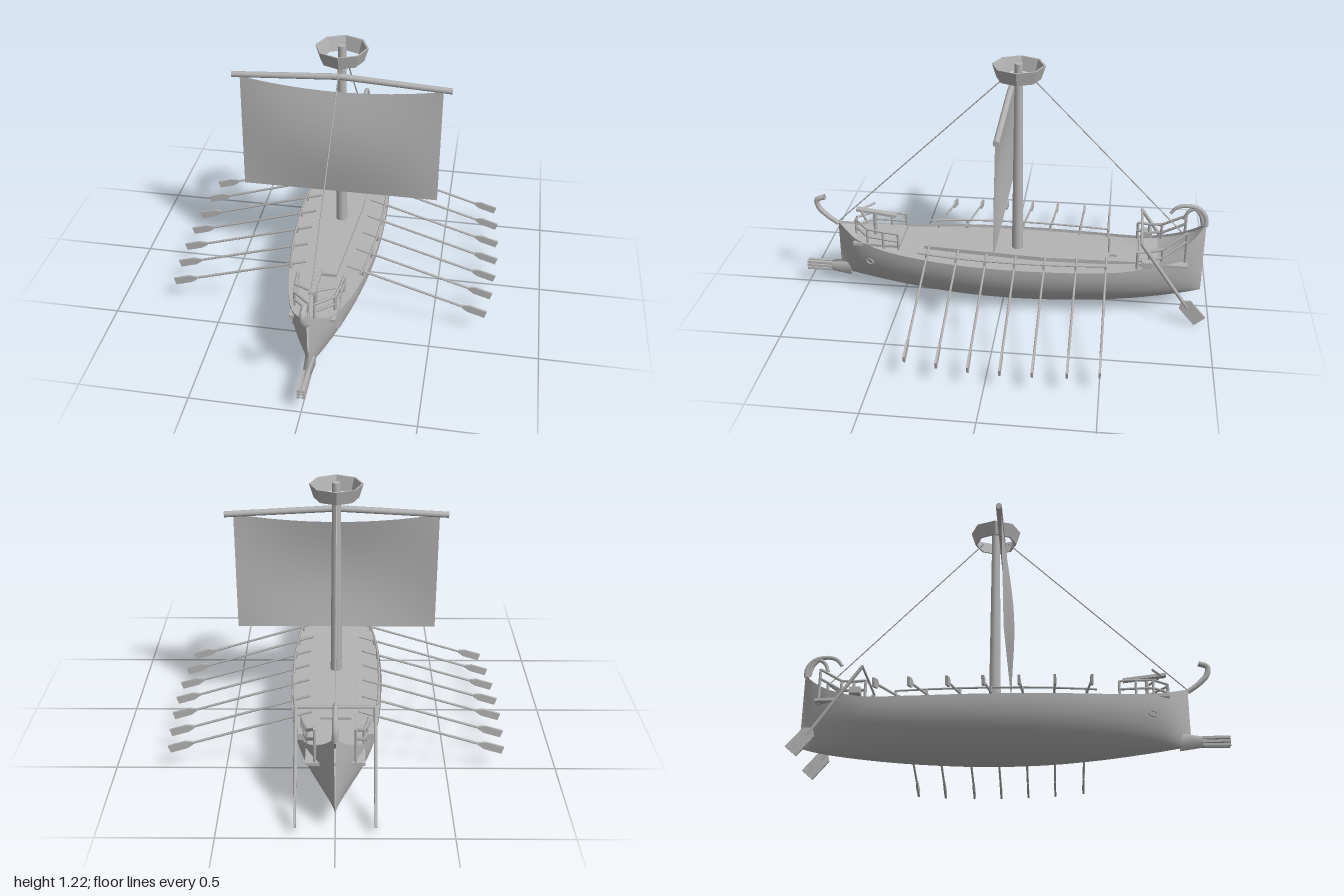
import * as THREE from 'three';

const wood = new THREE.MeshStandardMaterial({ color: 0xb4b4b4, side: THREE.DoubleSide });
wood.name = 'plain grey';
const V = (x, y, z) => new THREE.Vector3(x, y, z);

// Hull stations: z, half width, gunwale height, keel height
const stations = [
  [-0.96, 0.004, 0.465, 0.1], [-0.9, 0.055, 0.4, 0.082], [-0.8, 0.112, 0.335, 0.062], [-0.65, 0.165, 0.285, 0.042],
  [-0.45, 0.197, 0.272, 0.022], [-0.2, 0.213, 0.27, 0.007], [0, 0.214, 0.27, 0.004], [0.2, 0.203, 0.272, 0.01],
  [0.4, 0.175, 0.277, 0.026], [0.58, 0.135, 0.288, 0.047], [0.72, 0.085, 0.315, 0.067], [0.825, 0.004, 0.36, 0.085],
];
const gunwale = new THREE.CatmullRomCurve3(stations.map(([z, w, g]) => V(w, g, z)), false, 'catmullrom', 0.5);
const keel = new THREE.CatmullRomCurve3(stations.map(([z, , , k]) => V(0, k, z)), false, 'catmullrom', 0.5);

// Gunwale point at a given z
function edgeAt(z) {
  let lo = 0, hi = 1;
  for (let i = 0; i < 24; i++) {
    const mid = (lo + hi) / 2;
    if (gunwale.getPoint(mid).z < z) lo = mid; else hi = mid;
  }
  return gunwale.getPoint(lo);
}

function part(parent, name, geometry, x = 0, y = 0, z = 0) {
  const mesh = new THREE.Mesh(geometry, wood);
  mesh.name = name;
  mesh.position.set(x, y, z);
  parent.add(mesh);
  return mesh;
}

// Round bar between two points
function bar(parent, name, a, b, r0, r1 = r0, sides = 6) {
  const dir = b.clone().sub(a);
  const mesh = part(parent, name, new THREE.CylinderGeometry(r1, r0, dir.length(), sides));
  mesh.position.copy(a).add(b).multiplyScalar(0.5);
  mesh.quaternion.setFromUnitVectors(V(0, 1, 0), dir.normalize());
  return mesh;
}

function chain(parent, name, points, r) {
  for (let i = 1; i < points.length; i++) bar(parent, name, points[i - 1], points[i], r);
}

// Curved surface from a rule over u, v in 0..1
function surface(nu, nv, rule) {
  const g = new THREE.PlaneGeometry(1, 1, nu, nv);
  const p = g.attributes.position, uv = g.attributes.uv;
  for (let i = 0; i < p.count; i++) {
    const q = rule(uv.getX(i), uv.getY(i));
    p.setXYZ(i, q.x, q.y, q.z);
  }
  g.computeVertexNormals();
  return g;
}

// Curl whose radius tapers to the tip
function curl(parent, name, points, r0, r1) {
  const path = new THREE.CatmullRomCurve3(points.map(([z, y]) => V(0, y, z)));
  const g = new THREE.TubeGeometry(path, 20, 1, 8);
  const p = g.attributes.position;
  for (let i = 0; i < p.count; i++) {
    const t = Math.floor(i / 9) / 20, c = path.getPointAt(t);
    const v = V(p.getX(i), p.getY(i), p.getZ(i)).sub(c).multiplyScalar(r0 + (r1 - r0) * t).add(c);
    p.setXYZ(i, v.x, v.y, v.z);
  }
  part(parent, name, g);
}

// Flat blade along +x, thin in z
function bladeGeometry(length, half, neck) {
  const s = new THREE.Shape([[0, -0.007], [neck, -half], [length, -half], [length, half], [neck, half], [0, 0.007]]
    .map(([x, y]) => new THREE.Vector2(x, y)));
  return new THREE.ExtrudeGeometry(s, { depth: 0.01, bevelEnabled: false }).translate(0, 0, -0.005);
}

export function createModel() {
  const ship = new THREE.Group();
  ship.name = 'galley';

  // Hull and deck
  part(ship, 'hull', surface(32, 60, (u, v) => {
    const g = gunwale.getPoint(v), k = keel.getPoint(v), a = (u * 2 - 1) * Math.PI / 2;
    const x = Math.sign(a) * Math.abs(Math.sin(a)) ** 1.2 * g.x;
    return V(x, k.y + (g.y - k.y) * (1 - Math.cos(a)), g.z);
  }));
  part(ship, 'deck', surface(2, 50, (u, v) => {
    const g = gunwale.getPoint(1 - v);
    return V((u * 2 - 1) * g.x * 0.985, g.y - 0.014, g.z);
  }));
  const plank = new THREE.Shape([[-0.08, 0.64], [-0.092, 0.2], [-0.05, -0.39], [0.05, -0.39], [0.092, 0.2], [0.08, 0.64]]
    .map(([x, y]) => new THREE.Vector2(x, y)));
  part(ship, 'gangway', new THREE.ExtrudeGeometry(plank, { depth: 0.02, bevelEnabled: false }).rotateX(-Math.PI / 2), 0, 0.258, 0);
  part(ship, 'bench', new THREE.BoxGeometry(0.14, 0.012, 0.035), 0, 0.3, -0.53);
  bar(ship, 'benchPost', V(0, 0.26, -0.51), V(0, 0.355, -0.51), 0.005);
  part(ship, 'foreDeck', new THREE.BoxGeometry(0.206, 0.014, 0.23), 0, 0.295, 0.615);
  part(ship, 'aftDeck', new THREE.BoxGeometry(0.25, 0.014, 0.23), 0, 0.29, -0.765);

  // Ram with six prongs
  const neck = part(ship, 'ramBase', new THREE.CylinderGeometry(0.028, 0.05, 0.12, 4).rotateY(Math.PI / 4).rotateX(Math.PI / 2), 0, 0.105, 0.835);
  neck.scale.x = 0.6;
  for (const x of [-0.011, 0.011]) for (const y of [0.088, 0.105, 0.122])
    part(ship, 'ramProng', new THREE.BoxGeometry(0.014, 0.012, 0.125), x, y, 0.937);

  // Bow and stern curls
  curl(ship, 'bowCurl', [[0.825, 0.35], [0.88, 0.39], [0.92, 0.435], [0.925, 0.475], [0.885, 0.492]], 0.012, 0.014);
  curl(ship, 'sternCurl', [[-0.955, 0.45], [-0.952, 0.5], [-0.92, 0.54], [-0.86, 0.553], [-0.815, 0.54], [-0.79, 0.508]], 0.014, 0.008);
  curl(ship, 'sternInnerCurl', [[-0.945, 0.46], [-0.93, 0.51], [-0.9, 0.54], [-0.87, 0.52], [-0.855, 0.48]], 0.012, 0.008);

  // Mast, crow's nest, yard
  const mz = -0.065;
  bar(ship, 'mast', V(0, 0.25, mz), V(0, 1.225, mz), 0.028, 0.019, 12);
  const nest = [[0.102, 1.155], [0.122, 1.22], [0.113, 1.22], [0.094, 1.155], [0.102, 1.155]].map(([x, y]) => new THREE.Vector2(x, y));
  part(ship, 'crowsNest', new THREE.LatheGeometry(nest, 8).toNonIndexed(), 0, 0, mz).geometry.computeVertexNormals();
  for (const s of [-1, 1]) bar(ship, 'yard', V(0, 1.087, -0.025), V(0.51 * s, 1.057, -0.025), 0.015, 0.014, 10);

  // Billowed square sail
  part(ship, 'sail', surface(20, 16, (u, v) => {
    const x = u * 2 - 1, top = 1.015 + 0.04 * x * x;
    const belly = Math.sin(Math.PI * Math.min(1, v * 0.95)) * (1 - x * x);
    return V(0.47 * x, 0.475 + (top - 0.475) * v, -0.004 - 0.012 * v + 0.034 * belly);
  }));

  // Stays
  bar(ship, 'foreStay', V(0, 1.16, -0.005), V(0, 0.36, 0.825), 0.003);
  bar(ship, 'backStay', V(0, 1.16, -0.125), V(0, 0.41, -0.85), 0.003);

  // Bolt thrower on the fore deck
  bar(ship, 'throwerStand', V(0, 0.3, 0.64), V(0, 0.42, 0.64), 0.009);
  const stock = part(ship, 'throwerStock', new THREE.BoxGeometry(0.03, 0.014, 0.2), 0, 0.423, 0.63);
  stock.rotation.x = -0.12;
  for (const s of [-1, 1]) bar(ship, 'throwerArm', V(0, 0.432, 0.71), V(0.09 * s, 0.425, 0.66), 0.006);

  // Rowing stations, rails and steering gear on both sides
  const oarZ = [0.355, 0.21, 0.07, -0.07, -0.21, -0.36, -0.5];
  for (const s of [1, -1]) {
    const side = new THREE.Group();
    side.name = s > 0 ? 'leftSide' : 'rightSide';
    ship.add(side);

    const lineY = x => 0.34 - 0.312 * x;
    for (const z of oarZ) {
      const w = edgeAt(z).x, tip = w + 0.565, root = tip - 0.11;
      bar(side, 'oarShaft', V(s * (w - 0.085), lineY(w - 0.085), z), V(s * (root + 0.02), lineY(root + 0.02), z), 0.0055);
      const blade = part(side, 'oarBlade', bladeGeometry(0.113, 0.018, 0.03), s * root, lineY(root), z);
      blade.rotation.set(0, s > 0 ? 0 : Math.PI, -0.302);
      bar(side, 'railPost', V(s * (w - 0.012), 0.255, z), V(s * (w - 0.012), 0.305, z), 0.006);
    }
    const railZ = [0.4, ...oarZ];
    chain(side, 'sideRail', railZ.map(z => V(s * (edgeAt(z).x - 0.012), 0.303, z)), 0.005);

    // Fore rail
    const fore = [[0.105, 0.365, 0.505], [0.1, 0.37, 0.58], [0.09, 0.375, 0.66], [0.012, 0.383, 0.735]];
    for (const drop of [0, 0.04]) chain(side, 'foreRail', fore.map(([x, y, z]) => V(s * x, y - drop, z)), 0.006);
    for (const [x, y, z] of fore) bar(side, 'foreRailPost', V(s * x, 0.28, z), V(s * x, y, z), 0.006);

    // Aft rail rising to the stern
    const aft = [[0.145, 0.37, -0.645], [0.135, 0.37, -0.7], [0.12, 0.38, -0.76], [0.085, 0.455, -0.87]];
    for (const drop of [0, 0.045]) chain(side, 'aftRail', aft.map(([x, y, z]) => V(s * x, y - drop, z)), 0.007);
    for (const [x, y, z] of aft) bar(side, 'aftRailPost', V(s * x, 0.28, z), V(s * x, y, z), 0.007);

    // Steering oar and its bracket
    bar(side, 'steeringShaft', V(s * 0.17, 0.43, -0.66), V(s * 0.17, 0.1, -0.89), 0.009);
    const rudder = part(side, 'steeringBlade', bladeGeometry(0.135, 0.034, 0.02), s * 0.17, 0.13, -0.868);
    rudder.rotation.set(0, Math.PI / 2, -0.87);
    part(side, 'steeringBracket', new THREE.BoxGeometry(0.05, 0.03, 0.05), s * 0.148, 0.315, -0.69);

    // Eye ring on the bow
    const e = edgeAt(0.65);
    const eye = part(side, 'eye', new THREE.TorusGeometry(0.02, 0.004, 6, 16), s * e.x * 0.93, 0.205, 0.65);
    eye.rotation.y = s * 1.15;
    eye.scale.y = 0.65;
  }
  bar(ship, 'steeringCrossbar', V(-0.175, 0.43, -0.66), V(0.175, 0.43, -0.66), 0.006);
  return ship;
}
